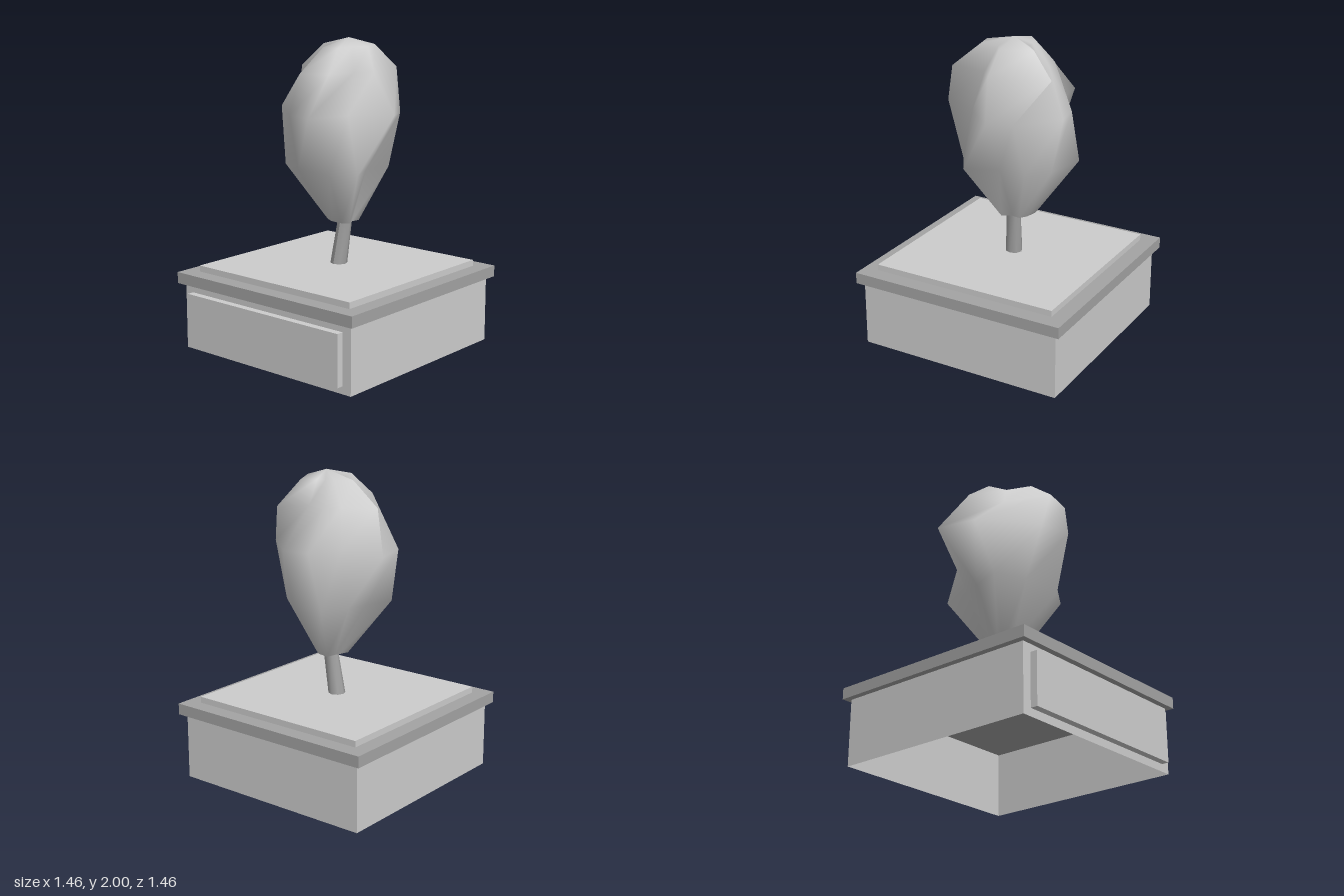
import * as THREE from 'three';

const lightGrey = new THREE.MeshStandardMaterial({ color: 0xcccccc });
lightGrey.name = 'lightGrey';
lightGrey.side = THREE.DoubleSide;
const midGrey = new THREE.MeshStandardMaterial({ color: 0xa3a3a3 });
midGrey.name = 'midGrey';

function add(group, name, geometry, material, x = 0, y = 0, z = 0) {
  const mesh = new THREE.Mesh(geometry, material);
  mesh.name = name;
  mesh.position.set(x, y, z);
  group.add(mesh);
  return mesh;
}

// Foliage: ten columns of lobes and valleys, joined ring by ring, [x, z] per point.
const APEX = [0.055, -0.045];
const RING_118 = [[-0.12, 0.24], [0.16, 0.265], [0.31, 0.175], [0.21, -0.03], [0.24, -0.22],
  [0.09, -0.33], [-0.175, -0.385], [-0.22, -0.17], [-0.26, -0.05], [-0.315, 0.145]];
const RING_154 = [[-0.09, 0.35], [0.11, 0.405], [0.22, 0.16], [0.415, -0.05], [0.345, -0.2],
  [0.1, -0.41], [-0.07, -0.38], [-0.2, -0.22], [-0.49, -0.185], [-0.42, 0.065]];
const RING_180 = [[0, 0.355], [0.195, 0.315], [0.2, 0.08], [0.295, 0], [0.18, -0.37],
  [0.04, -0.235], [-0.07, -0.22], [-0.18, -0.2], [-0.345, -0.05], [-0.13, 0.06]];

const shrink = (ring, [cx, cz], f) => ring.map(([x, z]) => [cx + (x - cx) * f, cz + (z - cz) * f]);

function foliageGeometry() {
  const top = shrink(RING_180, APEX, 0.53);
  top[3] = [0.22, -0.03];
  const rings = [
    [0.825, shrink(RING_118, [0.03, -0.05], 0.3)],
    [1.18, RING_118],
    [1.54, RING_154],
    [1.8, RING_180],
    [1.95, top],
  ];
  const n = RING_118.length;
  const positions = [];
  const index = [];
  rings.forEach(([y, ring]) => ring.forEach(([x, z]) => positions.push(x, y, z)));
  const apex = rings.length * n;
  const base = apex + 1;
  positions.push(APEX[0], 2, APEX[1], 0.03, 0.81, -0.04);
  for (let i = 0; i < n; i++) {
    const j = (i + 1) % n;
    for (let r = 0; r < rings.length - 1; r++) {
      const lo = r * n;
      const hi = lo + n;
      index.push(lo + i, lo + j, hi + j, lo + i, hi + j, hi + i);
    }
    const last = (rings.length - 1) * n;
    index.push(last + i, last + j, apex);
    index.push(j, i, base);
  }
  const geometry = new THREE.BufferGeometry();
  geometry.setAttribute('position', new THREE.Float32BufferAttribute(positions, 3));
  geometry.setIndex(index);
  geometry.computeVertexNormals();
  return geometry;
}

// Trunk: tapered cylinder sheared so that it leans.
function trunkGeometry() {
  const geometry = new THREE.CylinderGeometry(0.046, 0.055, 0.3, 8);
  geometry.translate(0, 0.15, 0);
  const p = geometry.attributes.position;
  for (let i = 0; i < p.count; i++) {
    const t = p.getY(i) / 0.3;
    p.setX(i, p.getX(i) + 0.038 * t);
    p.setZ(i, p.getZ(i) - 0.018 * t);
  }
  geometry.computeVertexNormals();
  return geometry;
}

export function createModel() {
  const model = new THREE.Group();
  model.name = 'pottedTree';

  // Planter: four thin walls, open underneath
  const planter = new THREE.Group();
  planter.name = 'planter';
  model.add(planter);
  for (let i = 0; i < 4; i++) {
    const wall = new THREE.PlaneGeometry(1.38, 0.43);
    wall.translate(0, 0.215, 0.69);
    wall.rotateY(i * Math.PI / 2);
    add(planter, 'planterWall', wall, lightGrey);
  }
  add(planter, 'frontPanel', new THREE.BoxGeometry(1.255, 0.33, 0.046), lightGrey, 0, 0.215, 0.713);
  add(planter, 'rim', new THREE.BoxGeometry(1.456, 0.073, 1.456), midGrey, 0, 0.468, 0);
  add(planter, 'soil', new THREE.BoxGeometry(1.255, 0.04, 1.255), lightGrey, 0, 0.525, 0);

  // Tree
  const tree = new THREE.Group();
  tree.name = 'tree';
  model.add(tree);
  add(tree, 'trunk', trunkGeometry(), midGrey, 0, 0.54, -0.012);
  add(tree, 'foliage', foliageGeometry(), lightGrey);
  return model;
}
